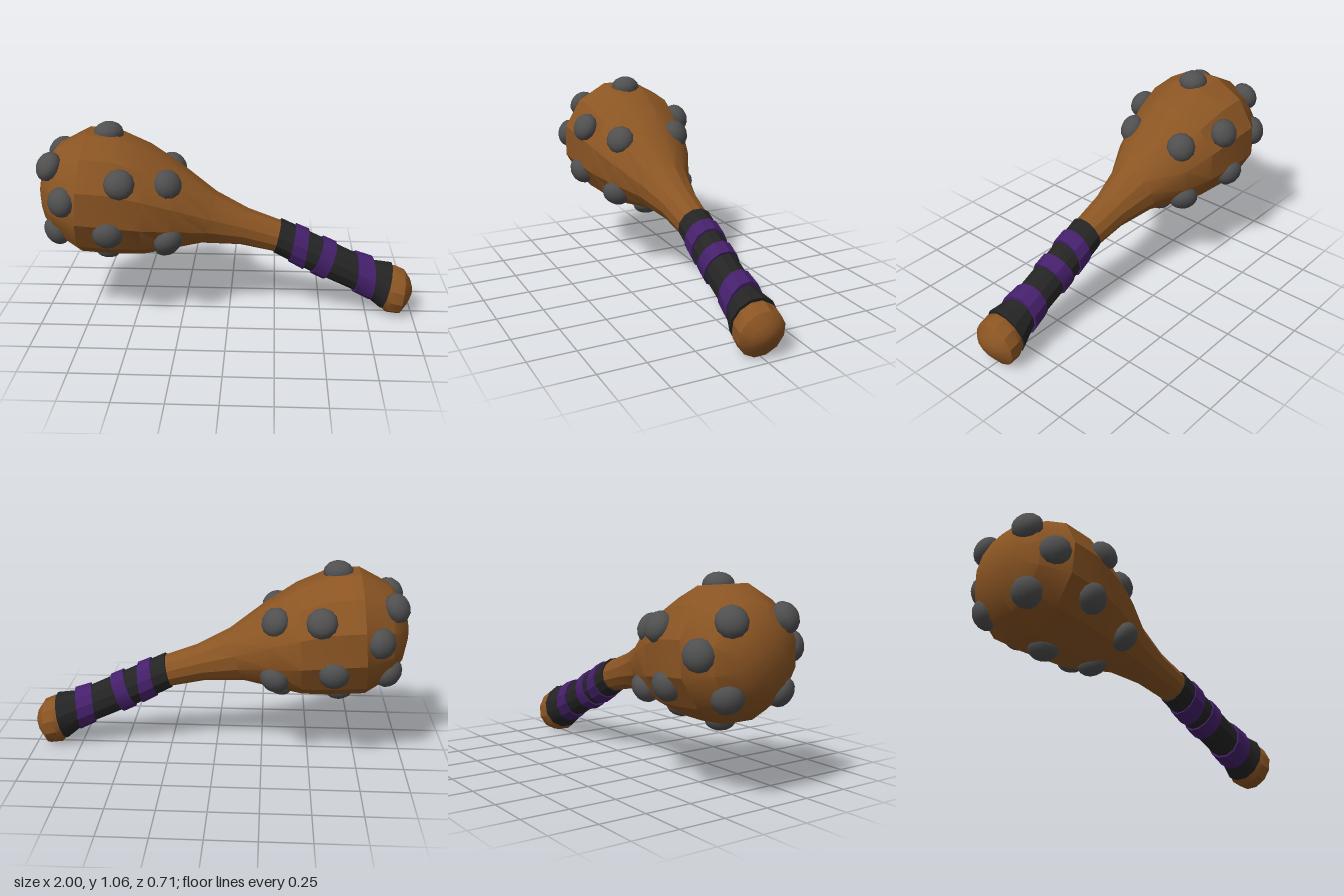
import * as THREE from 'three';
import { toCreasedNormals } from 'three/addons/utils/BufferGeometryUtils.js';

const SIDES = 12;

// Closed loft along +x; each station is [topX, topY, bottomX, bottomY, halfDepth]
function loft(stations, skew = 0, crease = 0.5) {
  const k = 1 / Math.cos(Math.PI / SIDES);
  const rings = stations.map(([tx, ty, bx, by, hz]) => {
    const ring = [];
    for (let j = 0; j < SIDES; j++) {
      const a = ((j + 0.5) / SIDES) * Math.PI * 2;
      const u = (Math.cos(a) * k) / 2;
      const z = Math.sin(a) * k * hz;
      ring.push([(tx + bx) / 2 + (tx - bx) * u + skew * z, (ty + by) / 2 + (ty - by) * u - skew * z * 0.45, z]);
    }
    return ring;
  });
  const pos = [];
  const tri = (a, b, c) => pos.push(...a, ...b, ...c);
  const mid = ([tx, ty, bx, by]) => [(tx + bx) / 2, (ty + by) / 2, 0];
  const last = rings.length - 1;
  for (let j = 0; j < SIDES; j++) {
    const n = (j + 1) % SIDES;
    for (let i = 0; i < last; i++) {
      tri(rings[i][j], rings[i][n], rings[i + 1][n]);
      tri(rings[i][j], rings[i + 1][n], rings[i + 1][j]);
    }
    tri(mid(stations[0]), rings[0][n], rings[0][j]);
    tri(mid(stations[last]), rings[last][j], rings[last][n]);
  }
  const g = new THREE.BufferGeometry();
  g.setAttribute('position', new THREE.Float32BufferAttribute(pos, 3));
  return toCreasedNormals(g, crease);
}

export function createModel() {
  const model = new THREE.Group();
  model.name = 'spikedClub';
  const material = (name, color) => {
    const m = new THREE.MeshStandardMaterial({ color });
    m.name = name;
    return m;
  };
  const wood = material('brown wood', 0x8b5523);
  const iron = material('grey iron', 0x505050);
  const leather = material('black leather', 0x242424);
  const cloth = material('purple cloth', 0x45206b);
  const add = (name, geometry, mat, parent = model) => {
    const mesh = new THREE.Mesh(geometry, mat);
    mesh.name = name;
    parent.add(mesh);
    return mesh;
  };

  // Bulbous head tapering into the neck
  add('clubHead', loft([
    [-0.998, 0.75, -0.998, 0.63, 0.07],
    [-0.97, 0.84, -0.97, 0.53, 0.16],
    [-0.90, 0.93, -0.91, 0.44, 0.245],
    [-0.74, 1.01, -0.79, 0.365, 0.325],
    [-0.58, 0.995, -0.62, 0.352, 0.32],
    [-0.42, 0.925, -0.46, 0.35, 0.287],
    [-0.26, 0.82, -0.32, 0.375, 0.235],
    [-0.07, 0.675, -0.15, 0.405, 0.145],
    [0.10, 0.585, 0.06, 0.395, 0.10],
    [0.29, 0.515, 0.25, 0.355, 0.085],
  ]), wood);

  // Leather grip, flared at the pommel
  add('gripWrap', loft([
    [0.28, 0.53, 0.24, 0.35, 0.094],
    [0.49, 0.43, 0.43, 0.25, 0.09],
    [0.70, 0.33, 0.65, 0.15, 0.09],
    [0.79, 0.295, 0.75, 0.10, 0.095],
    [0.885, 0.28, 0.83, 0.035, 0.124],
  ]), leather);

  // Cloth bands wound over the grip
  const bands = [
    [[0.36, 0.502, 0.32, 0.30, 0.1], [0.43, 0.472, 0.40, 0.255, 0.1], 0],
    [[0.51, 0.432, 0.44, 0.235, 0.098], [0.58, 0.40, 0.51, 0.20, 0.098], 0.05],
    [[0.69, 0.347, 0.67, 0.13, 0.1], [0.78, 0.317, 0.76, 0.085, 0.106], 0.15],
  ];
  bands.forEach(([a, b, skew], i) => add('gripBand' + (i + 1), loft([a, b], skew), cloth));

  // Rounded pommel
  add('pommel', loft([
    [0.86, 0.262, 0.82, 0.05, 0.105],
    [0.90, 0.264, 0.86, 0.012, 0.122],
    [0.955, 0.24, 0.925, 0.003, 0.122],
    [0.988, 0.19, 0.965, 0.055, 0.08],
    [1.0, 0.15, 0.992, 0.10, 0.03],
  ]), wood);

  // Iron studs; those off the centre line are mirrored front to back
  const studs = new THREE.Group();
  studs.name = 'studs';
  model.add(studs);
  const dome = new THREE.SphereGeometry(1, 12, 8);
  dome.rotateX(Math.PI / 2);
  const places = [
    [-0.92, 0.86, 0.16], [-0.84, 0.71, 0.28], [-0.54, 0.81, 0.285], [-0.31, 0.775, 0.17],
    [-0.61, 0.54, 0.29], [-0.90, 0.51, 0.16], [-0.31, 0.475, 0.2],
    [-0.63, 1.0, 0], [-0.66, 0.36, 0], [-0.34, 0.38, 0],
  ];
  for (const [x, y, z] of places) {
    for (const side of z ? [1, -1] : [1]) {
      const stud = add('stud', dome, iron, studs);
      const dx = x + 0.62;
      stud.position.set(x, y, z * side);
      stud.scale.set(0.079, 0.079, 0.06);
      stud.lookAt(x + (dx > 0 ? dx * 0.5 : dx), y + (y - 0.67), z * side * 2);
    }
  }
  return model;
}
